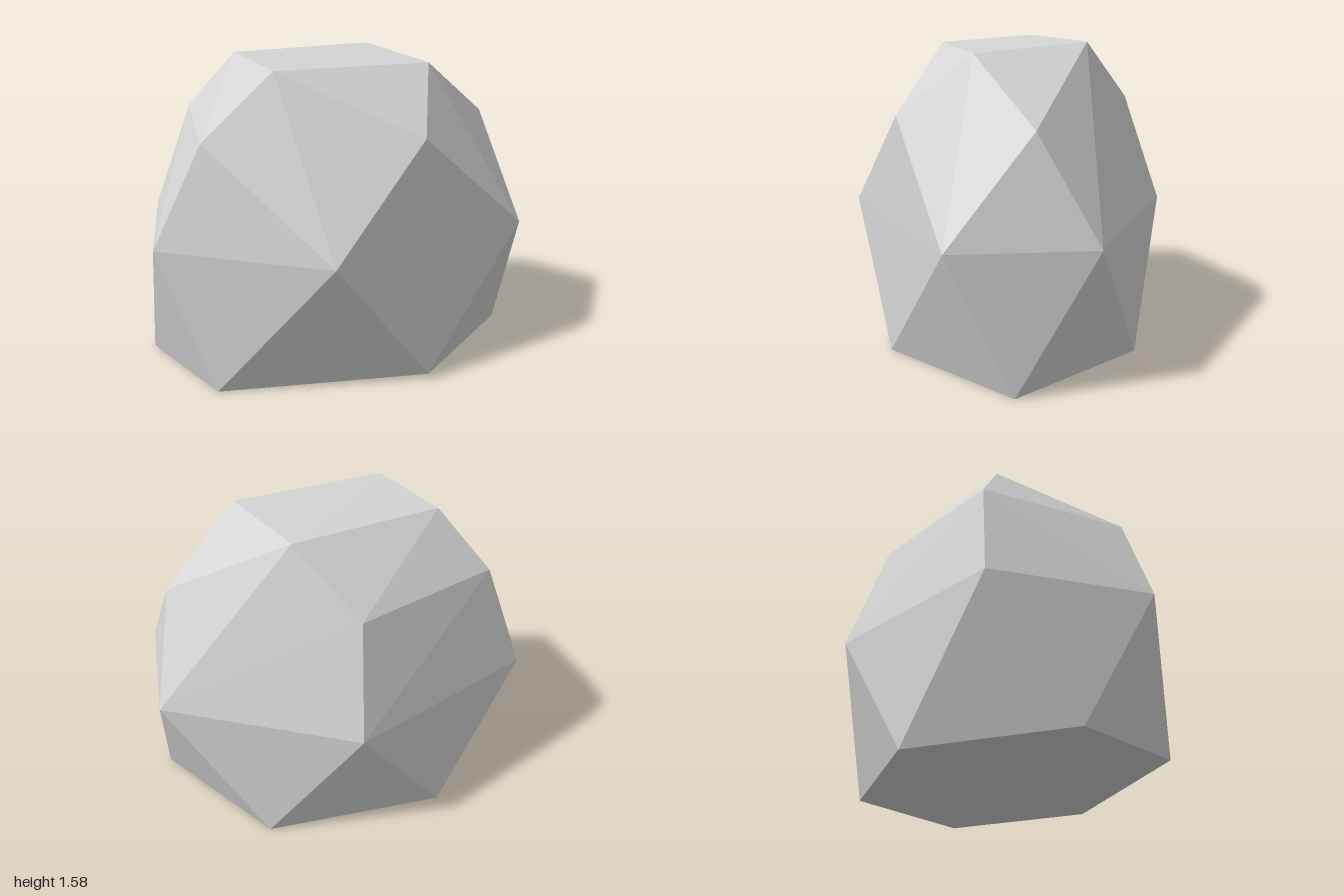
import * as THREE from 'three';
import { ConvexGeometry } from 'three/addons/geometries/ConvexGeometry.js';

// Faceted boulder: four irregular rings of corners, wrapped by flat facets.
const RINGS = {
  base: [[-0.74, 0, 0.55], [0.33, 0, 0.67], [0.96, 0, 0.12],
    [0.54, 0, -0.58], [-0.4, 0, -0.65], [-1, 0, -0.04]],
  waist: [[-0.21, 0.69, 0.82], [0.92, 0.7, 0.44], [1, 0.71, -0.27],
    [0.11, 0.71, -0.82], [-0.91, 0.7, -0.45], [-1, 0.7, 0.36]],
  shoulder: [[0.3, 1.23, 0.61], [0.86, 1.23, 0.01], [0.06, 1.27, -0.63],
    [-0.71, 1.27, -0.38], [-0.75, 1.22, 0.37]],
  crown: [[-0.48, 1.57, -0.21], [0.31, 1.58, -0.35], [0.45, 1.54, 0.24], [-0.38, 1.54, 0.32]],
};

export function createModel() {
  const stone = new THREE.MeshStandardMaterial({ color: 0xd4d4d4, flatShading: true });
  stone.name = 'pale stone grey';

  const corners = Object.values(RINGS).flat().map((p) => new THREE.Vector3(...p));
  const boulder = new THREE.Mesh(new ConvexGeometry(corners), stone);
  boulder.name = 'boulder';

  const group = new THREE.Group();
  group.name = 'rock';
  group.add(boulder);
  return group;
}
